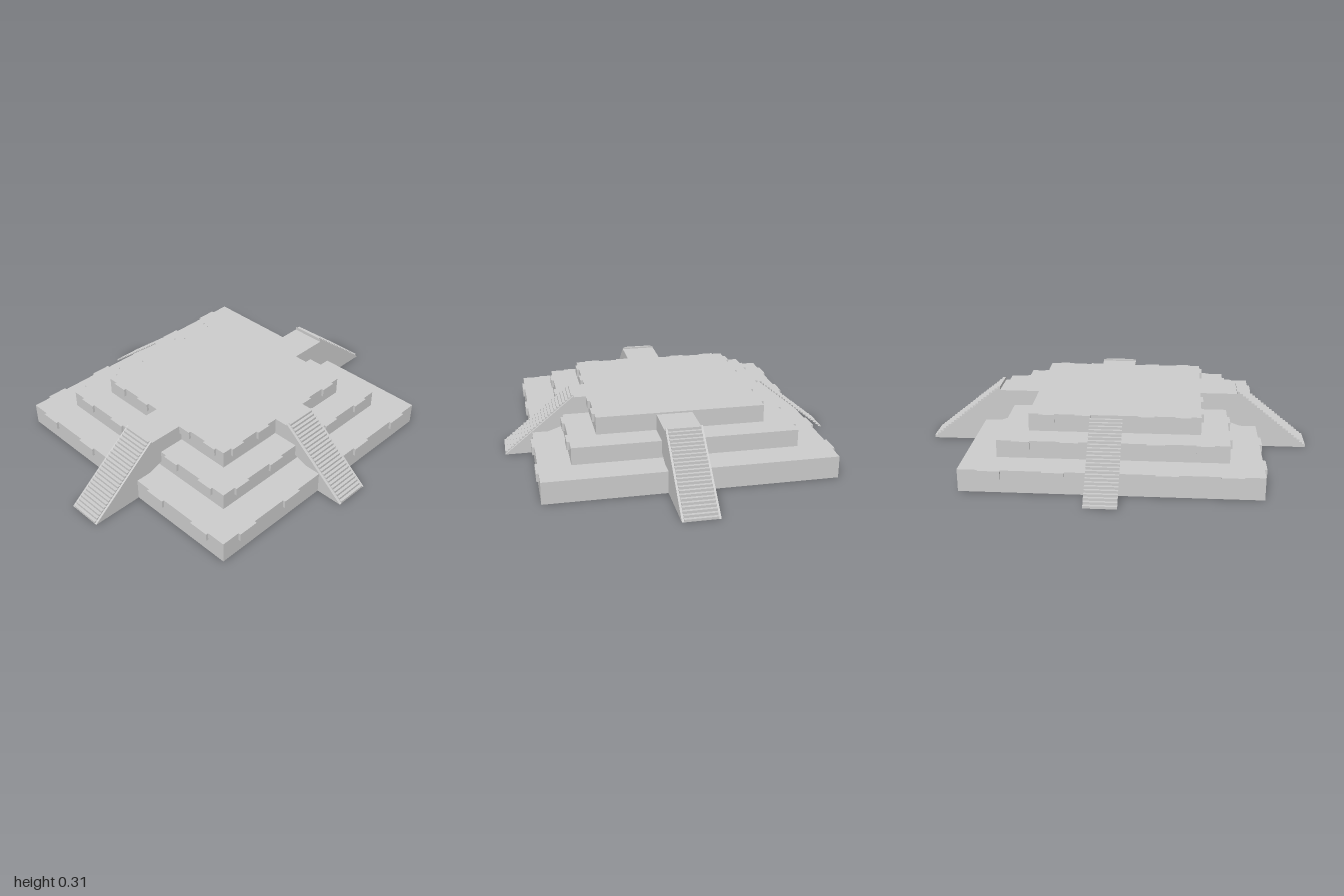
import * as THREE from 'three';

const grey = new THREE.MeshStandardMaterial({ color: 0xcccccc, flatShading: true });
const greyThin = new THREE.MeshStandardMaterial({ color: 0xcccccc, flatShading: true, side: THREE.DoubleSide });

// half width, bottom, top, width of the projecting blocks
const TIERS = [
  { half: 0.74, y0: 0, y1: 0.115, block: 0.11 },
  { half: 0.577, y0: 0.115, y1: 0.205, block: 0.09 },
  { half: 0.436, y0: 0.205, y1: 0.297, block: 0.08 },
];
const STEPS = 24;
const STAIR_TOP = 0.306;
const STAIR_WIDTH = 0.164;

function addMesh(parent, name, geometry, material = grey) {
  const mesh = new THREE.Mesh(geometry, material);
  mesh.name = name;
  parent.add(mesh);
  return mesh;
}

function addBox(parent, name, [w, h, d], [x, y, z]) {
  addMesh(parent, name, new THREE.BoxGeometry(w, h, d)).position.set(x, y, z);
}

// Side profile in x (outward) and y, extruded from z0 to z1
function slab(points, z0, z1) {
  const shape = new THREE.Shape(points.map(([x, y]) => new THREE.Vector2(x, y)));
  const geometry = new THREE.ExtrudeGeometry(shape, { depth: z1 - z0, bevelEnabled: false });
  return geometry.translate(0, 0, z0);
}

// Zigzag line from the top nosing down to the ground
function stepLine(x0, x1) {
  const run = (x1 - x0) / STEPS;
  const rise = STAIR_TOP / STEPS;
  const line = [[x0, STAIR_TOP]];
  for (let i = 0; i < STEPS; i++) {
    const x = x0 + run * (i + 1);
    line.push([x, STAIR_TOP - rise * i], [x, STAIR_TOP - rise * (i + 1)]);
  }
  return line;
}

// Open folded sheet of treads and risers
function stepSheet(line, z0, z1) {
  const positions = [];
  for (let i = 0; i + 1 < line.length; i++) {
    const [ax, ay] = line[i];
    const [bx, by] = line[i + 1];
    positions.push(ax, ay, z0, ax, ay, z1, bx, by, z1);
    positions.push(ax, ay, z0, bx, by, z1, bx, by, z0);
  }
  const geometry = new THREE.BufferGeometry();
  geometry.setAttribute('position', new THREE.Float32BufferAttribute(positions, 3));
  geometry.computeVertexNormals();
  return geometry;
}

// Staircase running outward along +x
function stairway({ name, x0, x1, offset, landing, rail }) {
  const group = new THREE.Group();
  group.name = name;
  const z0 = offset - STAIR_WIDTH / 2;
  const z1 = offset + STAIR_WIDTH / 2;
  const line = stepLine(x0, x1);
  if (!landing) {
    addMesh(group, 'stepSheet', stepSheet(line, z0, z1), greyThin);
    return group;
  }
  // inner outline, buried in the tiers
  const inner = [[0.436, landing], [0.436, 0.19], [0.7, 0.1], [0.74, 0]].reverse();
  const head = [[x0, landing]];
  const close = (outer) => [...outer, ...head, ...inner.slice().reverse()].reverse();
  addMesh(group, 'steps', slab(close(line.slice().reverse()), z0, z1));
  const wall = close([[x1, 0], [x0, STAIR_TOP]]);
  addMesh(group, 'sideWall', slab(wall, z0 - rail, z0));
  addMesh(group, 'sideWall', slab(wall, z1, z1 + rail));
  return group;
}

export function createModel() {
  const model = new THREE.Group();
  model.name = 'steppedPyramid';
  const temple = new THREE.Group();
  temple.name = 'pyramid';
  temple.position.x = -0.028;
  temple.rotation.y = THREE.MathUtils.degToRad(20);
  model.add(temple);

  // Three terraces
  TIERS.forEach(({ half, y0, y1 }, i) => {
    addBox(temple, `terrace${i + 1}`, [half * 2, y1 - y0, half * 2], [0, (y0 + y1) / 2, 0]);
  });

  const sides = [
    { name: 'rightStairs', turn: 0, x0: 0.656, x1: 1.038, offset: 0.035, landing: 0.288, rail: 0.011 },
    { name: 'frontStairs', turn: -0.5, x0: 0.51, x1: 0.886, offset: -0.037, landing: 0.297, rail: 0.014, blocks: true },
    { name: 'leftStairs', turn: 1, x0: 0.633, x1: 1.014, offset: -0.037, landing: 0.297, rail: 0.011, blocks: true },
    { name: 'backStairs', turn: 0.5, x0: 0.505, x1: 0.886, offset: 0.036, blocks: true },
  ];
  for (const side of sides) {
    const face = new THREE.Group();
    face.name = side.name.replace('Stairs', 'Side');
    face.rotation.y = side.turn * Math.PI;
    face.add(stairway(side));
    // Projecting blocks along the upper edge of each terrace
    if (side.blocks) {
      for (const { half, y1, block } of TIERS) {
        for (const t of [-0.79, -0.37, 0.37, 0.79]) {
          addBox(face, 'edgeBlock', [0.013, 0.043, block], [half + 0.0065, y1 - 0.0215, t * half]);
        }
      }
    }
    temple.add(face);
  }
  return model;
}
